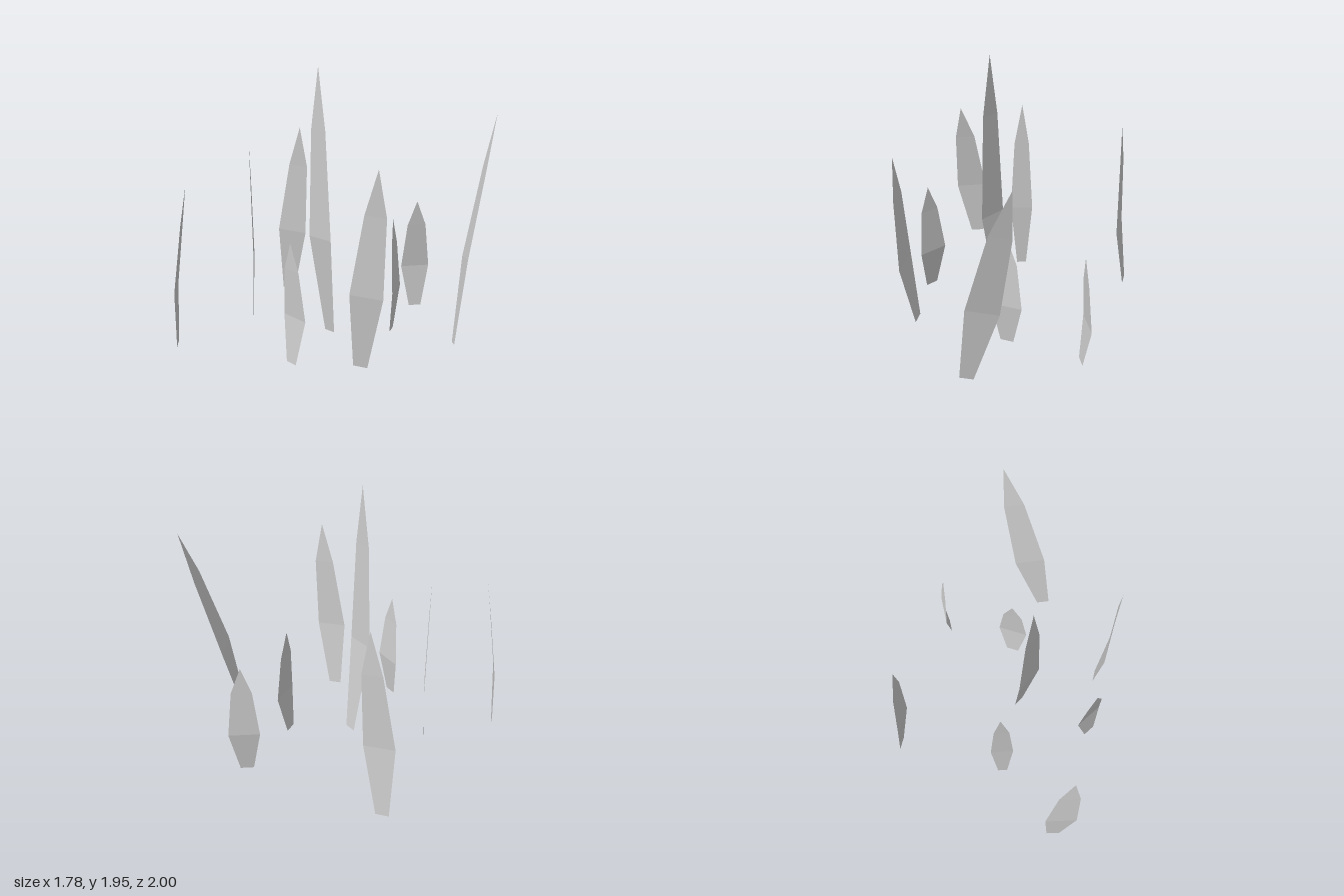
import * as THREE from 'three';

const material = new THREE.MeshStandardMaterial({
  color: 0xcccccc, flatShading: true, side: THREE.DoubleSide,
});

// Height fraction and width fraction at root, belly, shoulder and tip
const ROWS = [[0.006, 0.43], [0.378, 1], [0.775, 0.65], [1, 0]];

// path: [x, z] of the midrib at each row; half: half-width vector of the belly [x, y, z]
const centre = { name: 'centreBlade', h: 1.95, half: [0.105, 0, 0],
  path: [[0.045, -0.02], [0.045, 0.08], [0.045, 0.097], [0.045, 0.097]] };
const leaning = { name: 'leftFrontBlade', h: 1.376, half: [0.098, -0.01, -0.055],
  path: [[0.62, 0.283], [0.688, 0.308], [0.738, 0.284], [0.76, 0.285]] };

const BLADES = [
  centre,
  leaning,
  // same leaning blade, repeated at the right rear
  { ...leaning, name: 'rightBackBlade', path: leaning.path.map(([x, z]) => [x - 1.47, z - 0.746]) },
  { name: 'rightMiddleBlade', h: 1.382, half: [0.06, 0, 0.057],
    path: [[-0.463, 0.275], [-0.45, 0.267], [-0.456, 0.279], [-0.464, 0.284]] },
  { name: 'rightFrontBlade', h: 1.185, half: [0.082, -0.008, 0.08],
    path: [[-0.562, 0.898], [-0.522, 0.92], [-0.45, 0.908], [-0.403, 0.9]] },
  { name: 'tallLeftBackBlade', h: 1.605, half: [0.08, 0.02, 0.078],
    path: [[0.828, -0.468], [0.805, -0.607], [0.818, -0.786], [0.828, -0.895]] },
  { name: 'shortFrontBlade', h: 0.85, half: [0.111, 0, 0.01],
    path: [[0.245, 0.56], [0.246, 0.525], [0.246, 0.551], [0.245, 0.56]] },
  { name: 'shortBackBlade', h: 0.85, half: [0.063, 0, -0.091],
    path: [[0.145, -0.887], [0.119, -0.908], [0.137, -0.896], [0.145, -0.888]] },
  { name: 'shortLeftBlade', h: 0.85, half: [0.048, 0, 0.101],
    path: [[0.342, -0.365], [0.367, -0.384], [0.352, -0.372], [0.341, -0.365]] },
];

// A thin bent blade: pairs of edge points up the midrib, closing to a tip
function bladeGeometry({ h, half, path }) {
  const points = [], faces = [];
  ROWS.forEach(([t, w], i) => {
    const [x, z] = path[i];
    const sides = w > 0 ? [-1, 1] : [0];
    for (const s of sides) {
      points.push(x + s * w * half[0], t * h + s * w * half[1], z + s * w * half[2]);
    }
  });
  for (let i = 0; i < 2; i++) {
    const a = i * 2;
    faces.push(a, a + 1, a + 3, a, a + 3, a + 2);
  }
  faces.push(4, 5, 6);
  const geometry = new THREE.BufferGeometry();
  geometry.setAttribute('position', new THREE.Float32BufferAttribute(points, 3));
  geometry.setIndex(faces);
  const flat = geometry.toNonIndexed();
  flat.computeVertexNormals();
  return flat;
}

export function createModel() {
  const group = new THREE.Group();
  group.name = 'grassTuft';
  for (const blade of BLADES) {
    const mesh = new THREE.Mesh(bladeGeometry(blade), material);
    mesh.name = blade.name;
    group.add(mesh);
  }
  return group;
}
